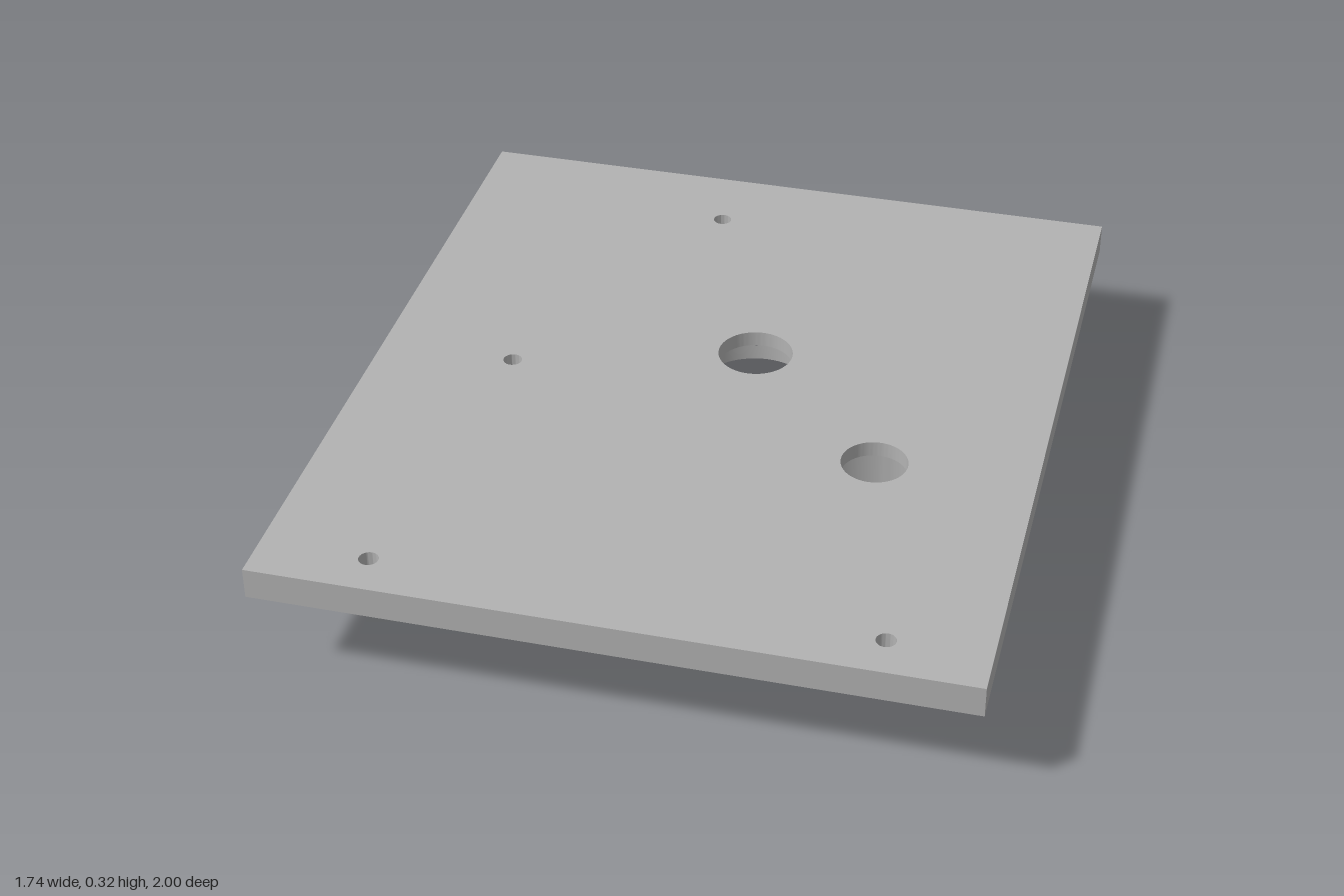
import * as THREE from 'three';
import { toCreasedNormals } from 'three/addons/utils/BufferGeometryUtils.js';

const UNDERSIDE = 0.245, STEP = 0.285, TOP = 0.325;
const HALF_W = 0.87, HALF_D = 1;

// Bosses under the plate: centre, outer radius, counterbore radius, through-hole radius, lowest point
const ring = { x: 0.08, z: -0.16, outer: 0.203, bore: 0.155, hole: 0.096, bottom: 0.203 };
const socket = { x: 0.47, z: 0.235, outer: 0.21, bore: 0.172, hole: 0.083, bottom: 0 };
const screwHoles = [[-0.16, -0.785], [-0.52, 0.02], [-0.6, 0.89], [0.625, 0.89]];

function addHole(shape, x, y, r) {
  shape.holes.push(new THREE.Path().absarc(x, y, r, 0, Math.PI * 2, true));
}

function rectangle(x0, y0, x1, y1) {
  return new THREE.Shape([[x0, y0], [x1, y0], [x1, y1], [x0, y1]].map(p => new THREE.Vector2(...p)));
}

// One layer of the plate; the lower layer carries the wide counterbores
function plateLayer(y0, y1, radiusKey) {
  const shape = rectangle(-HALF_W, -HALF_D, HALF_W, HALF_D);
  for (const b of [ring, socket]) addHole(shape, b.x, -b.z, b[radiusKey]);
  for (const [x, z] of screwHoles) addHole(shape, x, -z, 0.024);
  const geo = new THREE.ExtrudeGeometry(shape, { depth: y1 - y0, bevelEnabled: false, curveSegments: 48 });
  geo.rotateX(-Math.PI / 2).translate(0, y0, 0);
  return toCreasedNormals(geo, 0.6);
}

// Hollow round wall, optionally leaving a gap in the sweep
function tubeWall(b, start = 0, sweep = Math.PI * 2) {
  const profile = [[b.bore, UNDERSIDE], [b.bore, b.bottom], [b.outer, b.bottom], [b.outer, UNDERSIDE]]
    .map(p => new THREE.Vector2(...p));
  return toCreasedNormals(new THREE.LatheGeometry(profile, 72, start, sweep), 0.6);
}

// Wall section with a set-screw hole: a flat pierced slab bent around the tube axis
function piercedSection(b, angle, half) {
  const shape = rectangle(-half * b.outer, b.bottom, half * b.outer, UNDERSIDE);
  addHole(shape, 0, 0.122, 0.018);
  const geo = toCreasedNormals(new THREE.ExtrudeGeometry(shape, {
    depth: b.outer - b.bore, bevelEnabled: false, curveSegments: 24,
  }), 0.6);
  const pos = geo.attributes.position, nor = geo.attributes.normal;
  const up = new THREE.Vector3(0, 1, 0), v = new THREE.Vector3();
  for (let i = 0; i < pos.count; i++) {
    const a = angle + pos.getX(i) / b.outer;
    const r = b.bore + pos.getZ(i);
    pos.setXYZ(i, r * Math.sin(a), pos.getY(i), r * Math.cos(a));
    v.fromBufferAttribute(nor, i).applyAxisAngle(up, a);
    nor.setXYZ(i, v.x, v.y, v.z);
  }
  return geo;
}

export function createModel() {
  const model = new THREE.Group();
  model.name = 'mountingPlate';
  const grey = new THREE.MeshStandardMaterial({ color: 0xb2b2b2 });
  grey.name = 'grey';

  const add = (name, geo, x = 0, z = 0) => {
    const mesh = new THREE.Mesh(geo, grey);
    mesh.name = name;
    mesh.position.set(x, 0, z);
    model.add(mesh);
  };

  // Plate
  add('plateLower', plateLayer(UNDERSIDE, STEP, 'bore'));
  add('plateUpper', plateLayer(STEP, TOP, 'hole'));

  // Shallow ring
  add('shallowRing', tubeWall(ring), ring.x, ring.z);

  // Deep socket with its set-screw hole on the diagonal
  const angle = Math.PI / 4, half = 0.12;
  add('socketWall', tubeWall(socket, angle + half, Math.PI * 2 - 2 * half), socket.x, socket.z);
  add('socketScrewSection', piercedSection(socket, angle, half), socket.x, socket.z);

  return model;
}
